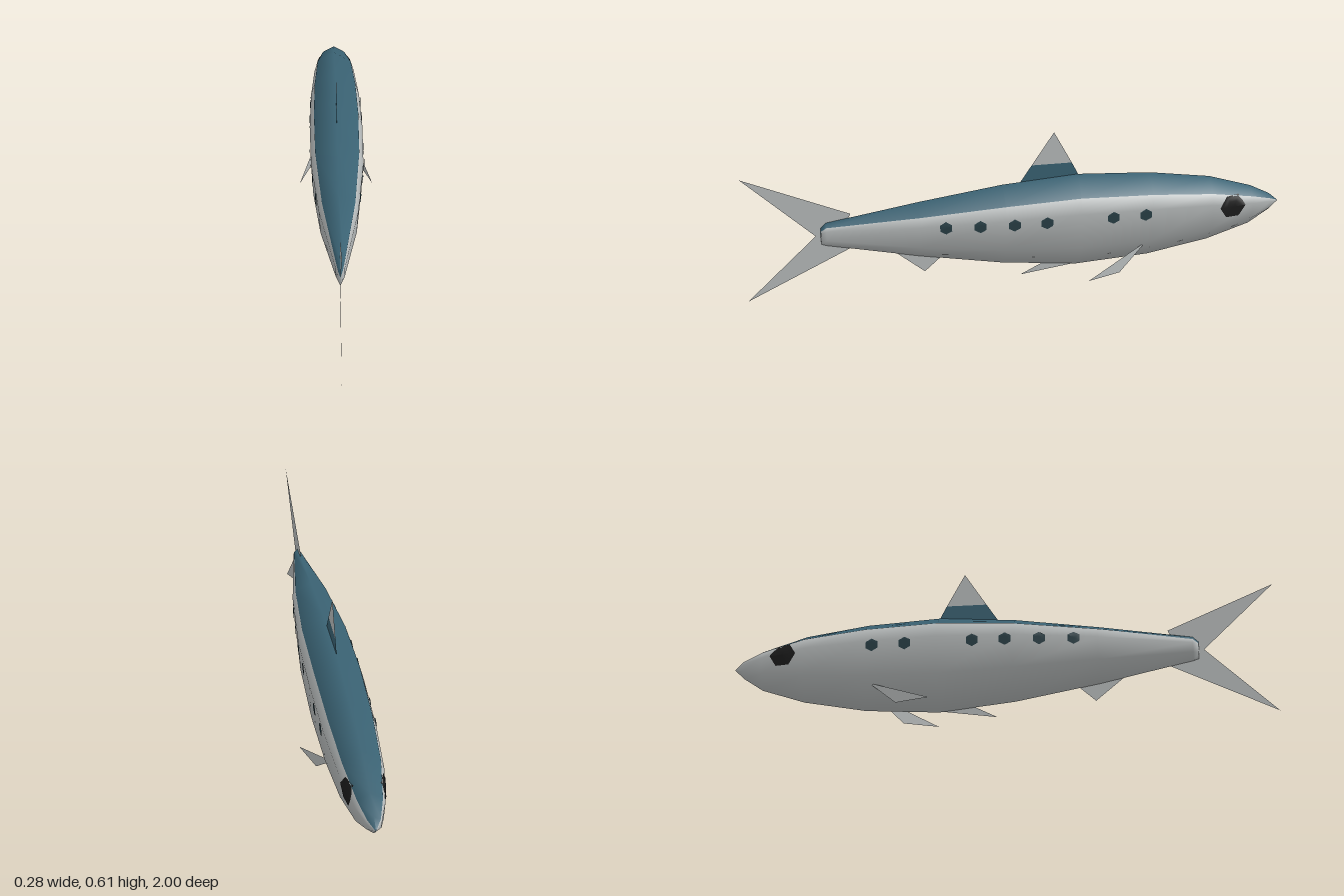
import * as THREE from 'three';

const mat = (name, color) =>
  new THREE.MeshStandardMaterial({ name, color, side: THREE.DoubleSide });

// Body stations: z, back height, belly height, half width
const STATIONS = [
  [-1, 0.253, 0.253, 0],
  [-0.965, 0.285, 0.217, 0.027],
  [-0.89, 0.325, 0.165, 0.052],
  [-0.73, 0.377, 0.11, 0.079],
  [-0.5, 0.412, 0.066, 0.094],
  [-0.23, 0.428, 0.048, 0.1],
  [0.05, 0.407, 0.078, 0.096],
  [0.36, 0.362, 0.135, 0.07],
  [0.7, 0.305, 0.21, 0.016],
  [0.72, 0.285, 0.217, 0.009],
  [0.722, 0.25, 0.25, 0],
];
// Half cross-section from back to belly, in units of half width and half height
const HALF = [[0, 1], [0.84, 0.69], [1, 0.38], [0.92, -0.39], [0, -1]];
const LOOP = [...HALF, ...HALF.slice(1, 4).reverse().map(([x, y]) => [-x, y])];

// Half width of the body surface at a given height and length
function surfaceX(y, z) {
  let i = 0;
  while (i < STATIONS.length - 2 && STATIONS[i + 1][0] < z) i++;
  const a = STATIONS[i], b = STATIONS[i + 1];
  const t = (z - a[0]) / (b[0] - a[0]);
  const [top, low, w] = [1, 2, 3].map(k => a[k] + (b[k] - a[k]) * t);
  const v = (y - (top + low) / 2) / ((top - low) / 2);
  let j = 0;
  while (j < HALF.length - 2 && HALF[j + 1][1] > v) j++;
  const [p, q] = [HALF[j], HALF[j + 1]];
  return w * (p[0] + (q[0] - p[0]) * (v - p[1]) / (q[1] - p[1]));
}

// Smooth lofted body; the strips above the shoulder line take the back colour
function bodyGeometry() {
  const n = LOOP.length, pos = [], back = [], flank = [];
  for (const [z, top, low, w] of STATIONS)
    for (const [x, y] of LOOP)
      pos.push(x * w, (top + low) / 2 + y * (top - low) / 2, z);
  for (let i = 0; i < STATIONS.length - 1; i++)
    for (let j = 0; j < n; j++) {
      const a = i * n + j, b = i * n + (j + 1) % n, c = a + n, d = b + n;
      (j === 0 || j === n - 1 ? back : flank).push(a, c, d, a, d, b);
    }
  const g = new THREE.BufferGeometry();
  g.setAttribute('position', new THREE.Float32BufferAttribute(pos, 3));
  g.setIndex([...back, ...flank]);
  g.addGroup(0, back.length, 0);
  g.addGroup(back.length, flank.length, 1);
  g.computeVertexNormals();
  return g;
}

// Flat fin from [x, y, z] corners, fanned from the first
function fin(name, material, pts) {
  const g = new THREE.BufferGeometry();
  g.setAttribute('position', new THREE.Float32BufferAttribute(pts.flat(), 3));
  const idx = [];
  for (let i = 1; i < pts.length - 1; i++) idx.push(0, i, i + 1);
  g.setIndex(idx);
  g.computeVertexNormals();
  const m = new THREE.Mesh(g, material);
  m.name = name;
  return m;
}

// Six-sided mark laid onto the left flank
function mark(name, material, z, y, rz, ry, turn) {
  const g = new THREE.RingGeometry(0.001, 1, 6, 4, turn);
  const p = g.attributes.position;
  for (let i = 0; i < p.count; i++) {
    const pz = z - p.getX(i) * rz, py = y + p.getY(i) * ry;
    p.setXYZ(i, surfaceX(py, pz) + 0.004, py, pz);
  }
  g.computeVertexNormals();
  const m = new THREE.Mesh(g, material);
  m.name = name;
  return m;
}

export function createModel() {
  const model = new THREE.Group();
  model.name = 'fish';
  const blue = mat('backBlue', 0x3a6273);
  const silver = mat('silver', 0xb8bcbc);
  const slate = mat('spotSlate', 0x2a4148);
  const black = mat('eyeBlack', 0x1c1c1c);

  const body = new THREE.Mesh(bodyGeometry(), [blue, silver]);
  body.name = 'body';
  model.add(body);

  // Fins on the centre line
  model.add(
    fin('dorsalFinBase', blue,
      [[0, 0.39, -0.002], [0, 0.477, -0.058], [0, 0.477, -0.207], [0, 0.4, -0.245]]),
    fin('dorsalFinTip', silver,
      [[0, 0.477, -0.058], [0, 0.605, -0.14], [0, 0.477, -0.207]]),
    fin('upperTailFin', silver, [[0, 0.335, 0.61], [0, 0.505, 1], [0, 0.253, 0.74], [0, 0.253, 0.65]]),
    fin('lowerTailFin', silver, [[0, 0.195, 0.61], [0, 0, 1], [0, 0.253, 0.74], [0, 0.253, 0.65]]),
    fin('analFin', silver, [[0, 0.175, 0.47], [0, 0.068, 0.343], [0, 0.14, 0.265]]),
    fin('ventralFin', silver, [[0, 0.085, -0.14], [0, 0.02, -0.016], [0, 0.052, -0.23]]),
  );

  // Paired parts, mirrored across the centre line
  for (const s of [1, -1]) {
    const side = new THREE.Group();
    side.name = s > 0 ? 'leftSide' : 'rightSide';
    side.add(
      fin('pectoralFin', silver,
        [[0.058, 0.152, -0.483], [0.098, 0.052, -0.376], [0.14, 0.05, -0.25]]),
      mark('eye', black, -0.808, 0.277, 0.05, 0.048, 0),
    );
    for (const z of [0.27, 0.145, 0.02, -0.1, -0.348, -0.47])
      side.add(mark('spot', slate, z, 0.287, 0.025, 0.025, Math.PI / 6));
    side.scale.x = s;
    model.add(side);
  }
  return model;
}
